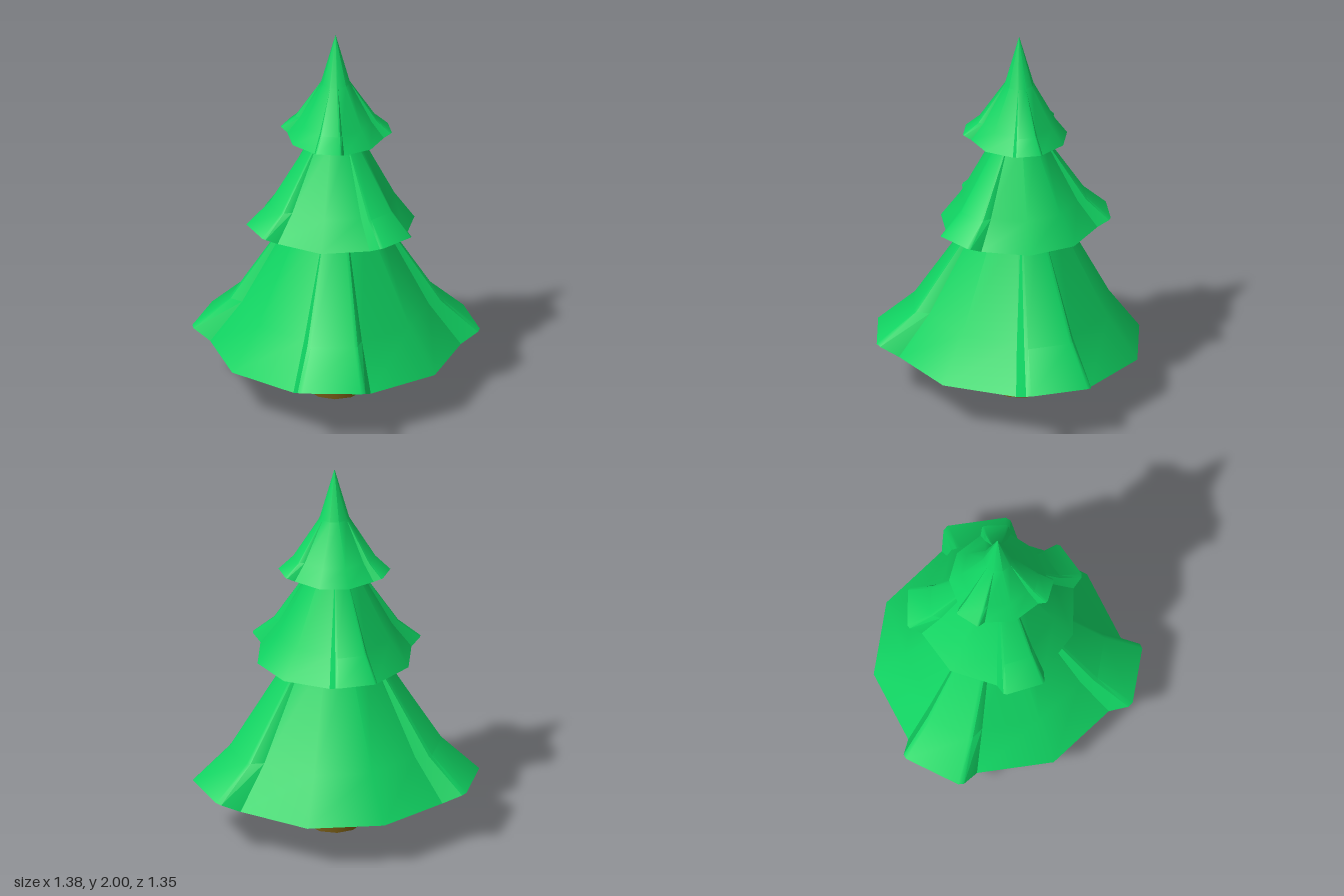
import * as THREE from 'three';
import { toCreasedNormals } from 'three/addons/utils/BufferGeometryUtils.js';

const CX = 0.05, CZ = -0.006;
const SIDES = 10;
const RAISED = [1, 5, 8]; // panels of each ten-sided skirt that lift into a fold

// Skirt profile for a unit base radius: [radius, height, fold amount, fold lift]
const PROFILE = [
  [1, 0, 1, 0.078],
  [0.746, 0.35, 0.93, 0],
  [0.3, 1.2, 0, 0],
  [0, 2.28, 0, 0],
];

// Columns inside a lifted panel: [angle offset in degrees, fold strength]
const FOLD = [[0, 0], [4.2, 0.88], [6.3, 1], [29.7, 1], [31.8, 0.88]];

function skirtGeometry(radius, turn) {
  const columns = [];
  for (let i = 0; i < SIDES; i++) {
    const panel = RAISED.includes(i) ? FOLD : [[0, 0]];
    for (const [offset, fold] of panel) columns.push([i * 36 + offset + turn, fold]);
  }
  const point = (row, col) => {
    const [r, h, amount, lift] = PROFILE[row];
    const [deg, fold] = columns[col % columns.length];
    const a = THREE.MathUtils.degToRad(deg);
    const rr = radius * r * (1 + 0.155 * amount * fold);
    return [Math.cos(a) * rr, radius * (h + lift * fold), -Math.sin(a) * rr];
  };
  const positions = [];
  const last = PROFILE.length - 1;
  for (let row = 0; row < last; row++) {
    for (let c = 0; c < columns.length; c++) {
      const a = point(row, c), b = point(row, c + 1);
      const d = point(row + 1, c), e = point(row + 1, c + 1);
      positions.push(...a, ...b, ...e);
      if (row < last - 1) positions.push(...a, ...e, ...d);
    }
  }
  const geometry = new THREE.BufferGeometry();
  geometry.setAttribute('position', new THREE.Float32BufferAttribute(positions, 3));
  return toCreasedNormals(geometry, THREE.MathUtils.degToRad(35));
}

export function createModel() {
  const group = new THREE.Group();
  group.name = 'pineTree';
  const green = new THREE.MeshStandardMaterial({ color: 0x10d462, side: THREE.DoubleSide });
  const brown = new THREE.MeshStandardMaterial({ color: 0x6b5210, side: THREE.DoubleSide });

  // Tapered open trunk, ending inside the lowest skirt
  const trunkProfile = [[0.143, 0], [0.122, 0.13], [0.104, 0.26], [0.097, 0.45]]
    .map(([r, y]) => new THREE.Vector2(r, y));
  const trunk = new THREE.Mesh(new THREE.LatheGeometry(trunkProfile, 10), brown);
  trunk.name = 'trunk';
  trunk.position.set(CX, 0, CZ);
  group.add(trunk);

  // Three nested skirts of foliage: name, base radius, base height, turn
  const tiers = [
    ['lowerFoliage', 0.643, 0.255, 0],
    ['middleFoliage', 0.408, 0.945, -63],
    ['upperFoliage', 0.25, 1.43, -6],
  ];
  for (const [name, radius, y, turn] of tiers) {
    const mesh = new THREE.Mesh(skirtGeometry(radius, turn), green);
    mesh.name = name;
    mesh.position.set(CX, y, CZ);
    group.add(mesh);
  }
  return group;
}
